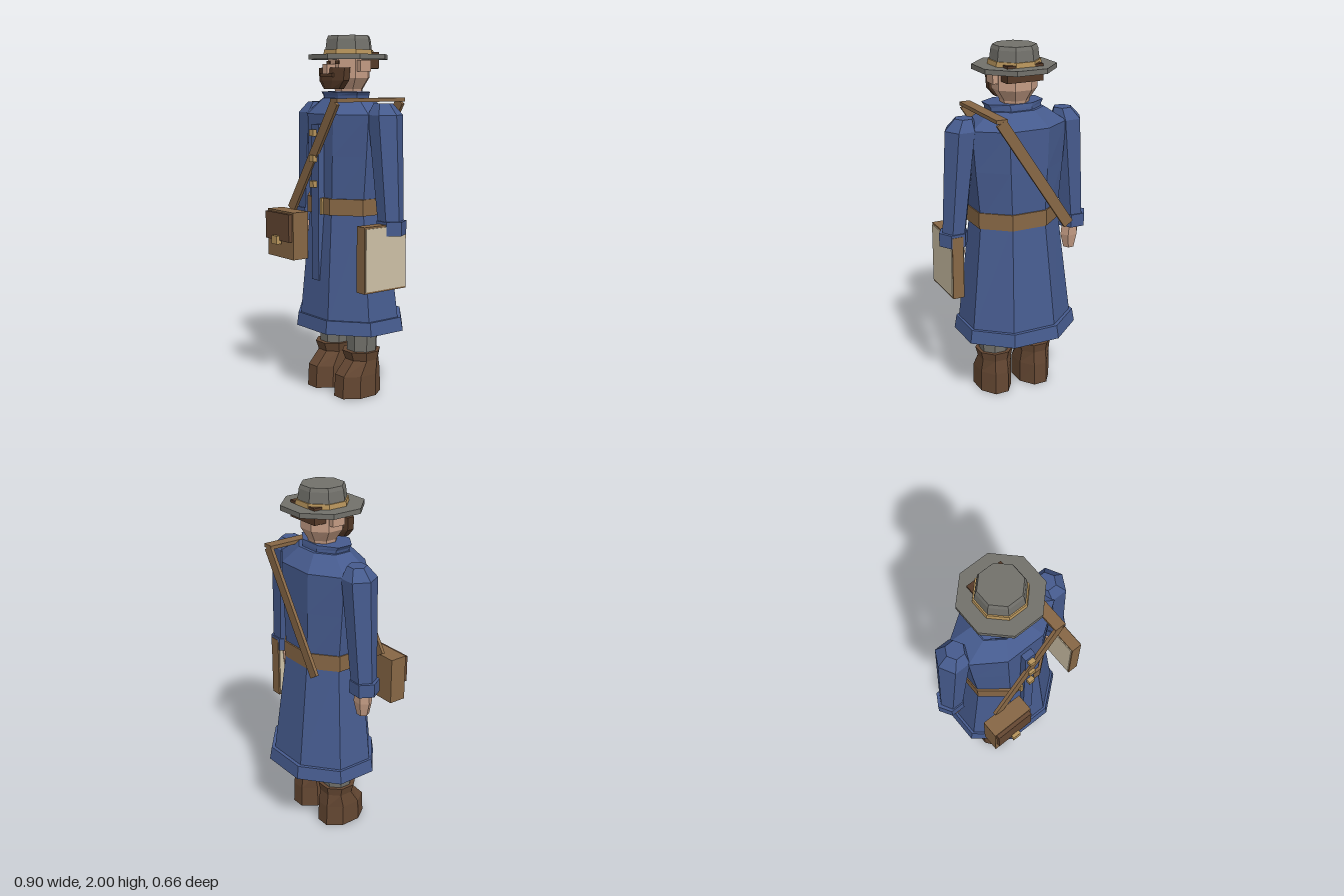
import * as THREE from 'three';

const mat = (name, color) => {
  const m = new THREE.MeshStandardMaterial({ color });
  m.name = name;
  return m;
};

// Faceted loft through polygon rings [y, halfX, halfZ, centreX, centreZ], listed bottom to top.
// Eight-sided rings have flats on the axes; six-sided rings have corners on the x axis.
function loft(rings, sides = 8) {
  const start = sides === 8 ? Math.PI / 8 : 0;
  const unit = [];
  for (let i = 0; i < sides; i++) {
    const a = start + (i / sides) * Math.PI * 2;
    unit.push([Math.cos(a), Math.sin(a)]);
  }
  const mx = Math.max(...unit.map((p) => p[0]));
  const mz = Math.max(...unit.map((p) => p[1]));
  const pos = [];
  const idx = [];
  for (const [y, hx, hz, cx = 0, cz = 0] of rings) {
    for (const [ux, uz] of unit) pos.push(cx + (ux / mx) * hx, y, cz + (uz / mz) * hz);
  }
  const top = (rings.length - 1) * sides;
  for (let r = 0; r < top; r += sides) {
    for (let i = 0; i < sides; i++) {
      const j = (i + 1) % sides;
      idx.push(r + i, r + sides + i, r + j, r + j, r + sides + i, r + sides + j);
    }
  }
  for (let i = 1; i < sides - 1; i++) {
    idx.push(0, i, i + 1, top, top + i + 1, top + i);
  }
  const g = new THREE.BufferGeometry();
  g.setAttribute('position', new THREE.Float32BufferAttribute(pos, 3));
  g.setIndex(idx);
  const flat = g.toNonIndexed();
  flat.computeVertexNormals();
  return flat;
}

export function createModel() {
  const root = new THREE.Group();
  root.name = 'travellerFigure';

  const coat = mat('coatBlue', 0x465b8e);
  const grey = mat('feltGrey', 0x72716b);
  const leather = mat('tanLeather', 0x876745);
  const boot = mat('darkLeather', 0x644732);
  const skin = mat('skin', 0xc49c84);
  const hair = mat('hairBrown', 0x553a28);
  const brass = mat('brass', 0xb8955c);
  const paper = mat('paper', 0xcdc1a6);

  const add = (name, geometry, material) => {
    const m = new THREE.Mesh(geometry, material);
    m.name = name;
    root.add(m);
    return m;
  };
  // Box given by its extents on each axis
  const box = (name, material, [x0, x1], [y0, y1], [z0, z1]) => {
    const m = add(name, new THREE.BoxGeometry(x1 - x0, y1 - y0, z1 - z0), material);
    m.position.set((x0 + x1) / 2, (y0 + y1) / 2, (z0 + z1) / 2);
    return m;
  };

  // Coat: hem band, skirt and chest, collar
  add('coatHem', loft([
    [0.38, 0.33, 0.275, 0, -0.055],
    [0.455, 0.318, 0.265, 0, -0.053],
  ]), coat);
  add('coatBody', loft([
    [0.44, 0.305, 0.25, 0, -0.05],
    [1.07, 0.235, 0.187, 0, -0.037],
    [1.35, 0.262, 0.19, 0, -0.037],
    [1.575, 0.28, 0.19, 0, -0.037],
    [1.66, 0.16, 0.115, 0, -0.035],
  ]), coat);
  add('coatCollar', loft([
    [1.64, 0.145, 0.105, 0, -0.03],
    [1.675, 0.15, 0.105, 0, -0.025],
    [1.695, 0.163, 0.105, 0, -0.02],
  ]), coat);
  box('coatPlacket', coat, [-0.032, 0.032], [0.66, 1.52], [0.13, 0.19]);
  for (const y of [1.475, 1.335, 1.195]) {
    box('coatButton', brass, [-0.018, 0.018], [y - 0.018, y + 0.018], [0.185, 0.215]);
  }

  // Belt and buckle
  add('belt', loft([
    [1.03, 0.246, 0.2, 0, -0.033],
    [1.12, 0.246, 0.2, 0, -0.033],
  ]), leather);
  box('beltBuckle', brass, [-0.048, 0.048], [1.03, 1.12], [0.16, 0.18]);

  // Arms, legs and ears, mirrored
  for (const s of [-1, 1]) {
    const side = s > 0 ? 'left' : 'right';
    add(side + 'Sleeve', loft([
      [1.0, 0.068, 0.062, s * 0.364, -0.045],
      [1.575, 0.09, 0.084, s * 0.315, -0.045],
      [1.635, 0.052, 0.046, s * 0.295, -0.045],
    ], 6), coat);
    add(side + 'Cuff', loft([
      [0.94, 0.083, 0.07, s * 0.369, -0.045],
      [1.015, 0.083, 0.07, s * 0.369, -0.045],
    ], 6), coat);
    add(side + 'Hand', loft([
      [0.8, 0.033, 0.03, s * 0.355, -0.04],
      [0.88, 0.054, 0.042, s * 0.355, -0.042],
      [0.96, 0.05, 0.042, s * 0.358, -0.045],
    ], 6), skin);
    add(side + 'Trouser', loft([
      [0.22, 0.08, 0.078, s * 0.125, -0.042],
      [0.46, 0.095, 0.085, s * 0.125, -0.042],
    ]), grey);
    add(side + 'Boot', loft([
      [0, 0.096, 0.135, s * 0.125, -0.01],
      [0.125, 0.096, 0.13, s * 0.125, -0.012],
      [0.205, 0.09, 0.09, s * 0.125, -0.042],
      [0.255, 0.101, 0.103, s * 0.125, -0.038],
    ]), boot);
    box(side + 'Ear', skin, s > 0 ? [0.1, 0.145] : [-0.145, -0.1], [1.805, 1.865], [-0.085, -0.01]);
    const ex = s * 0.04;
    box(side + 'Eye', hair, [ex - 0.014, ex + 0.014], [1.845, 1.862], [0.06, 0.07]);
  }

  // Head and face
  add('head', loft([
    [1.66, 0.07, 0.065, 0, -0.045],
    [1.71, 0.075, 0.075, 0, -0.045],
    [1.77, 0.115, 0.108, 0, -0.045],
    [1.89, 0.115, 0.108, 0, -0.045],
  ]), skin);
  add('beard', loft([
    [1.71, 0.068, 0.04, 0, 0.06],
    [1.755, 0.108, 0.047, 0, 0.058],
    [1.825, 0.115, 0.047, 0, 0.055],
  ]), hair);
  box('moustache', hair, [-0.055, 0.055], [1.775, 1.797], [0.09, 0.112]);
  box('nose', skin, [-0.02, 0.02], [1.79, 1.845], [0.05, 0.122]);
  box('backHair', hair, [-0.105, 0.105], [1.82, 1.91], [-0.175, -0.1]);

  // Hat
  add('hatBrim', loft([
    [1.87, 0.209, 0.209, 0, -0.043],
    [1.897, 0.209, 0.209, 0, -0.043],
  ]), grey);
  add('hatBand', loft([
    [1.895, 0.133, 0.133, 0, -0.045],
    [1.923, 0.13, 0.13, 0, -0.045],
  ]), brass);
  add('hatCrown', loft([
    [1.89, 0.127, 0.127, 0, -0.045],
    [1.98, 0.116, 0.116, 0, -0.045],
    [2.0, 0.108, 0.108, 0, -0.045],
  ]), grey);

  // Shoulder strap: diagonal front and back runs joined over the shoulder
  const [x0, y0, x1, y1] = [-0.22, 1.035, 0.185, 1.645];
  for (const [name, z] of [['frontStrap', 0.191], ['backStrap', -0.264]]) {
    const strap = add(name, new THREE.BoxGeometry(0.06, Math.hypot(x1 - x0, y1 - y0), 0.018), leather);
    strap.position.set((x0 + x1) / 2, (y0 + y1) / 2, z);
    strap.rotation.z = -Math.atan2(x1 - x0, y1 - y0);
  }
  box('shoulderStrap', leather, [0.15, 0.213], [1.642, 1.662], [-0.272, 0.2]);

  // Satchel
  box('satchelBody', leather, [-0.317, -0.068], [0.77, 1.035], [0.19, 0.29]);
  box('satchelFlap', boot, [-0.308, -0.08], [0.87, 1.025], [0.285, 0.312]);
  box('satchelClasp', brass, [-0.22, -0.17], [0.85, 0.897], [0.3, 0.332]);

  // Book with pale panels on both faces
  box('bookCover', leather, [0.341, 0.405], [0.645, 1.0], [-0.117, 0.17]);
  box('bookOuterPanel', paper, [0.404, 0.41], [0.655, 0.99], [-0.109, 0.162]);
  box('bookInnerPanel', paper, [0.336, 0.342], [0.655, 0.99], [-0.109, 0.162]);

  return root;
}
